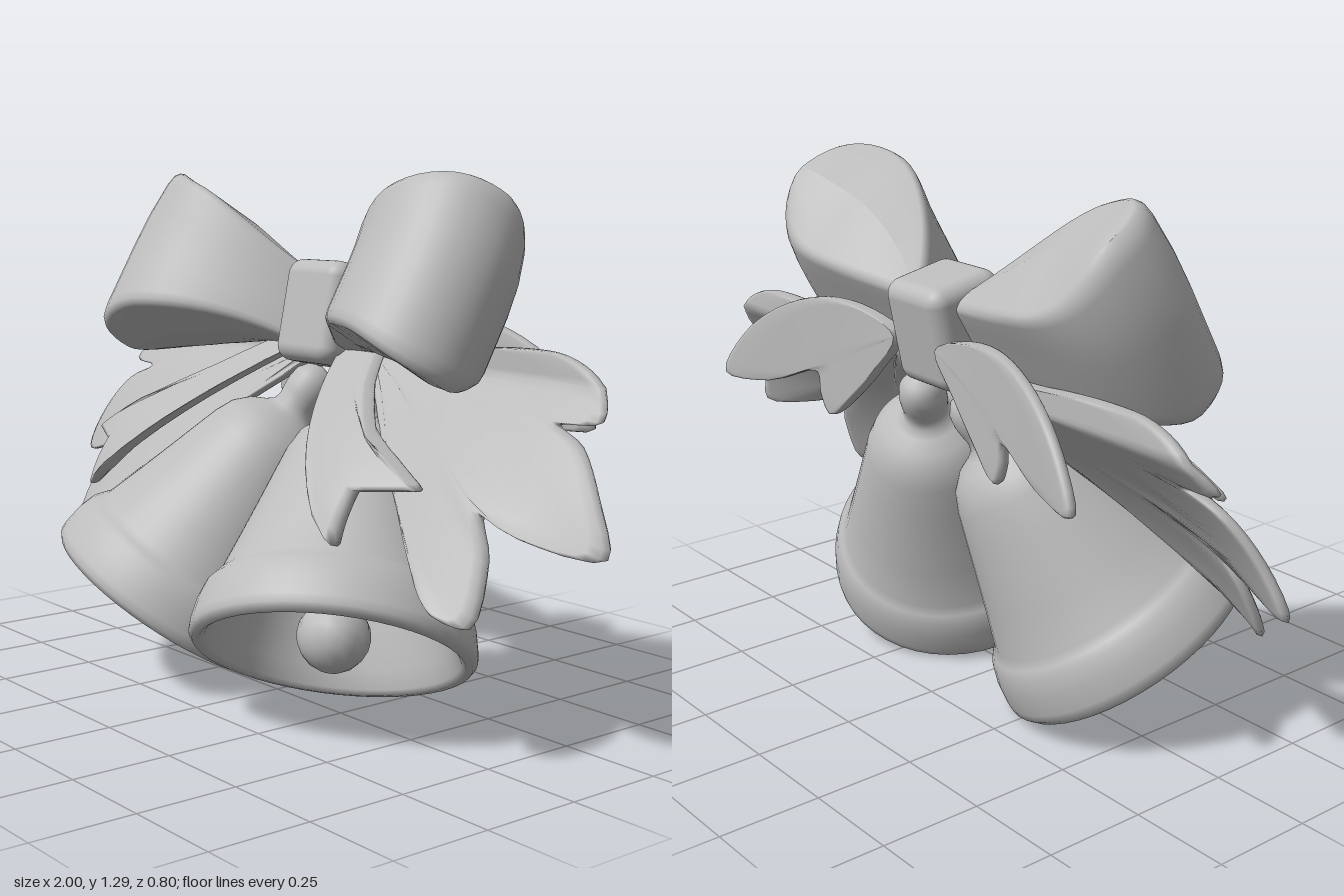
import * as THREE from 'three';
import { RoundedBoxGeometry } from 'three/addons/geometries/RoundedBoxGeometry.js';

const grey = new THREE.MeshStandardMaterial({ color: 0xbcbcbc, side: THREE.DoubleSide });
grey.name = 'plain grey';

function add(parent, name, geometry) {
  const mesh = new THREE.Mesh(geometry, grey);
  mesh.name = name;
  parent.add(mesh);
  return mesh;
}

// Closed surface from nu points around and nv rings; winding is set to face outwards
function skin(nu, nv, point) {
  const pos = [], idx = [];
  for (let j = 0; j < nv; j++) for (let i = 0; i < nu; i++) pos.push(...point(i, j));
  for (let j = 0; j < nv - 1; j++) for (let i = 0; i < nu; i++) {
    const k = (i + 1) % nu, a = j * nu + i, b = j * nu + k, c = a + nu, d = b + nu;
    idx.push(a, b, d, a, d, c);
  }
  const v = (n) => new THREE.Vector3().fromArray(pos, n * 3);
  let volume = 0;
  for (let n = 0; n < idx.length; n += 3) volume += v(idx[n]).dot(v(idx[n + 1]).cross(v(idx[n + 2])));
  if (volume < 0) idx.reverse();
  const g = new THREE.BufferGeometry();
  g.setAttribute('position', new THREE.Float32BufferAttribute(pos, 3));
  g.setIndex(idx);
  g.computeVertexNormals();
  return g;
}

// Thin bent sheet: outline shrunk in rings towards its first point, z given by a rule
function sheet(side, outline, depth, half, smooth) {
  const root = outline[0], pts = [], per = 4;
  const curve = new THREE.CatmullRomCurve3(outline.map(([x, y]) => new THREE.Vector3(x, y, 0)), true, 'centripetal');
  outline.forEach((p, n) => {
    const q = outline[(n + 1) % outline.length];
    for (let k = 0; k < per; k++) {
      const f = k / per;
      const c = curve.getPoint((n + f) / outline.length);
      pts.push(smooth ? [c.x, c.y] : [p[0] + (q[0] - p[0]) * f, p[1] + (q[1] - p[1]) * f]);
    }
  });
  const front = [[0, 1], [0.2, 1], [0.4, 1], [0.6, 1], [0.8, 1], [0.96, 1], [0.99, 0.7]];
  const rings = [...front, [1, 0], ...front.slice().reverse().map(([s, t]) => [s, -t])];
  return skin(pts.length, rings.length, (i, j) => {
    const [s, t] = rings[j];
    const x = root[0] + (pts[i][0] - root[0]) * s;
    const y = root[1] + (pts[i][1] - root[1]) * s;
    return [side * x, y, depth(x, y) + t * half];
  });
}

// Puffed bow loop: teardrop plan, tallest at the outer end, lower at the back, caps closed along the middle
function bowLoop(side) {
  const levels = [[-1, 0], [-1, 0.5], [-1, 0.88], [-0.98, 0.94], [-0.92, 0.985], [-0.8, 1], [-0.4, 1], [0, 1],
    [0.4, 1], [0.8, 1], [0.92, 0.985], [0.98, 0.94], [1, 0.88], [1, 0.5], [1, 0]];
  const n = 48, step = THREE.MathUtils.smoothstep;
  return skin(n, levels.length, (i, j) => {
    const [v, k] = levels[j], a = (i / n) * Math.PI * 2;
    const t = (1 - Math.cos(a)) / 2;
    let x = 0.4 + (0.05 + 0.595 * t - 0.4) * Math.max(k, 0.92);
    let w = 0.18 * k * Math.sin(a) * Math.sin(a / 2) / 0.77;
    const e = (1 - THREE.MathUtils.clamp((x - 0.08) / 0.4, 0, 1)) ** 2;
    const h = 0.09 + 0.1 * step(x, 0.05, 0.5) + 0.048 * step(x, 0.42, 0.63);
    const back = 1 - 0.3 * step(-w, 0, 0.18);
    const u = v * h * back - 0.035 * e;
    w -= 0.125 * e + 0.012;
    x -= 0.045 * Math.max(0, v) ** 2 * t;
    return [side * x, u, w];
  });
}

// Bell body with inner wall, rolled rim, shoulder and top knob
function bellBody() {
  const profile = [[0, 0.52], [0.11, 0.5], [0.16, 0.42], [0.21, 0.27], [0.25, 0.14], [0.28, 0.05], [0.3, 0.005],
    [0.312, -0.006], [0.328, -0.004], [0.338, 0.01], [0.338, 0.03], [0.33, 0.08], [0.316, 0.12], [0.302, 0.137],
    [0.286, 0.155], [0.252, 0.25], [0.221, 0.34], [0.194, 0.42], [0.17, 0.49], [0.148, 0.535], [0.115, 0.567],
    [0.08, 0.585], [0.06, 0.6], [0.055, 0.62], [0.058, 0.645], [0.059, 0.67], [0.054, 0.7], [0.035, 0.725], [0, 0.735]];
  return new THREE.LatheGeometry(profile.map(([r, y]) => new THREE.Vector2(r, y)), 48);
}

export function createModel() {
  const model = new THREE.Group();
  model.name = 'bells with bow';

  // Bow, leaning back
  const bow = new THREE.Group();
  bow.name = 'bow';
  bow.position.set(0, 1.04, -0.075);
  bow.rotation.x = -Math.PI / 6;
  model.add(bow);
  const knot = add(model, 'knot', new RoundedBoxGeometry(0.21, 0.258, 0.205, 5, 0.04));
  knot.position.set(0, 0.94, -0.182);
  knot.rotation.x = -0.2;

  const leafOutline = [[0.12, 0.85], [0.4, 0.885], [0.62, 0.9], [0.74, 0.892], [0.83, 0.85], [0.89, 0.765], [0.785, 0.75],
    [0.87, 0.71], [0.95, 0.615], [1.0, 0.5], [0.83, 0.52], [0.72, 0.558], [0.77, 0.47], [0.78, 0.337],
    [0.685, 0.37], [0.59, 0.455], [0.45, 0.565], [0.3, 0.68]];
  const backLeafOutline = [[0.08, 0.91], [0.2, 0.955], [0.35, 0.96], [0.5, 0.91], [0.62, 0.82], [0.685, 0.71],
    [0.54, 0.71], [0.37, 0.765], [0.36, 0.71], [0.33, 0.66], [0.25, 0.72], [0.16, 0.81]];
  const tailOutline = [[0.05, 0.9], [0.2, 0.875], [0.3, 0.8], [0.44, 0.715], [0.55, 0.66], [0.635, 0.612],
    [0.5, 0.6], [0.5, 0.485], [0.3, 0.665], [0.11, 0.84]];

  for (const side of [1, -1]) {
    const label = side > 0 ? 'left ' : 'right ';
    add(bow, label + 'bow loop', bowLoop(side));

    // Bell hanging outwards and forwards
    const bell = new THREE.Group();
    bell.name = label + 'bell';
    bell.position.set(side * 0.335, 0.185, 0.1);
    bell.quaternion.setFromUnitVectors(new THREE.Vector3(0, 1, 0), new THREE.Vector3(-0.345 * side, 0.838, -0.426).normalize());
    add(bell, 'bell body', bellBody());
    add(bell, 'clapper', new THREE.SphereGeometry(0.088, 14, 10)).position.y = 0.045;
    add(bell, 'clapper rod', new THREE.CylinderGeometry(0.02, 0.02, 0.42, 10)).position.y = 0.3;
    model.add(bell);

    // Ribbon tail with swallow-tail end
    add(model, label + 'ribbon tail', sheet(side, tailOutline, (x, y) => {
      const d = 0.88 - y;
      return -0.18 + 1.9 * d - 2.1 * d * d - 0.4 * Math.max(0, x - 0.45);
    }, 0.02, false));

    // Three-lobed leaf curving forwards, its outer tips swept back
    add(model, label + 'leaf', sheet(side, leafOutline, (x, y) => {
      const d = Math.max(0, 0.83 - y);
      return -0.23 + d - 0.5 * d * d - 1.3 * d * Math.max(0, x - 0.7);
    }, 0.018, true));

    // Small forked leaf curling backwards
    add(model, label + 'back leaf', sheet(side, backLeafOutline,
      (x) => -0.27 - 0.12 * (Math.max(0, x - 0.08) / 0.6) ** 1.6, 0.016, true));
  }
  return model;
}
